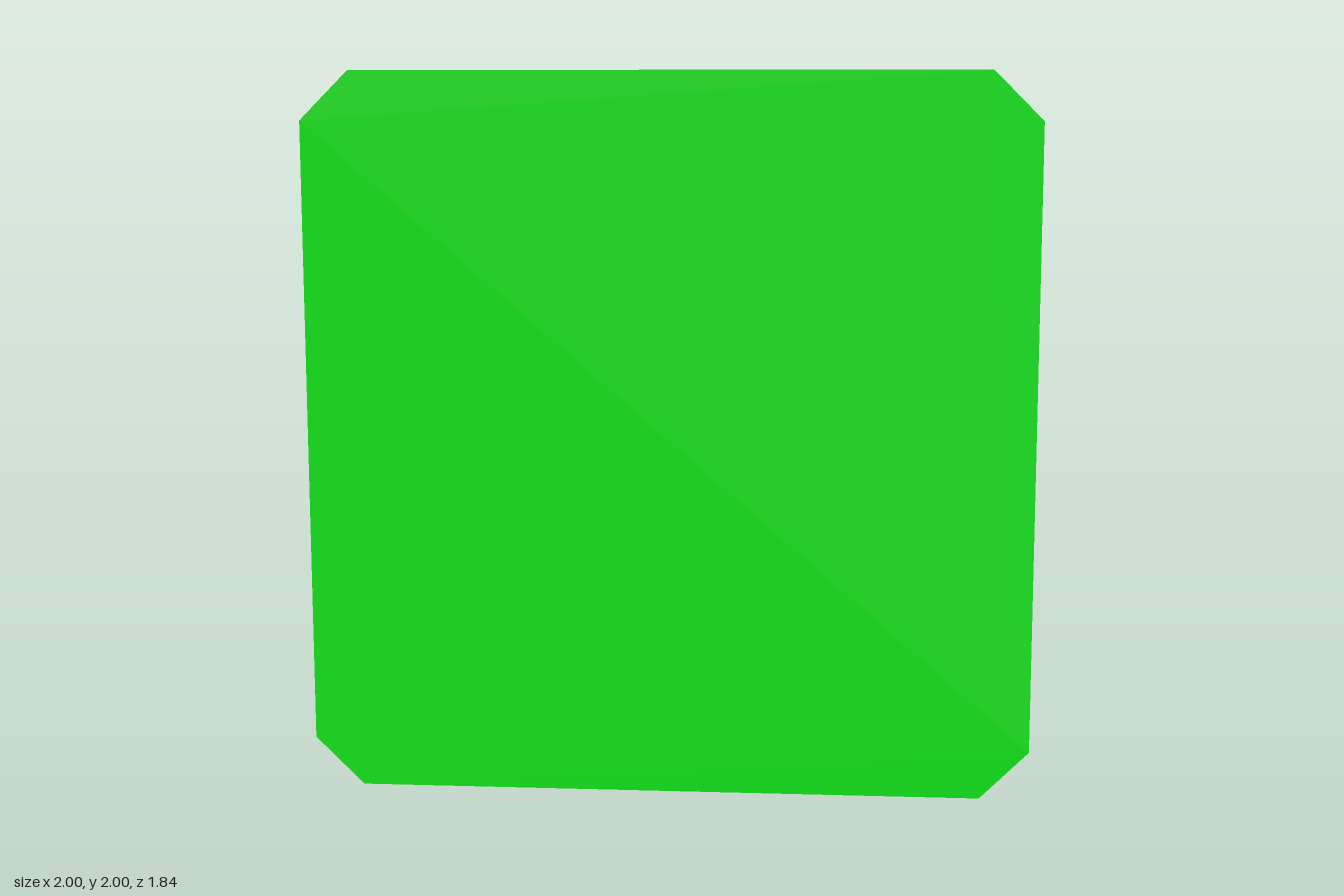
import * as THREE from 'three';

export function createModel() {
  const model = new THREE.Group();
  const green = new THREE.MeshStandardMaterial({ color: 0x10e018, flatShading: true });

  // Square outline with cut corners, shared by every plate
  const h = 1, c = 0.865;
  const outline = new THREE.Shape([
    [-c, -h], [c, -h], [h, -c], [h, c], [c, h], [-c, h], [-h, c], [-h, -c],
  ].map(([x, y]) => new THREE.Vector2(x, y)));

  function addPlate(name, zBack, zFront) {
    const geometry = new THREE.ExtrudeGeometry(outline, { depth: zFront - zBack, bevelEnabled: false });
    const plate = new THREE.Mesh(geometry, green);
    plate.name = name;
    plate.position.set(0, 1, zBack);
    model.add(plate);
  }

  // Thick front plate and three thin plates behind it
  addPlate('frontPlate', 0.7, 0.92);
  addPlate('frontMiddlePlate', 0.143, 0.193);
  addPlate('backMiddlePlate', -0.38, -0.33);
  addPlate('backPlate', -0.92, -0.87);

  // Four square rods joining the plates near their corners
  const rodBack = -0.88, rodFront = 0.71;
  const rodGeometry = new THREE.BoxGeometry(0.096, 0.096, rodFront - rodBack);
  for (const [sideName, sx] of [['left', 1], ['right', -1]]) {
    for (const [levelName, sy] of [['Upper', 1], ['Lower', -1]]) {
      const rod = new THREE.Mesh(rodGeometry, green);
      rod.name = `${sideName}${levelName}Rod`;
      rod.position.set(sx * 0.762, 1 + sy * 0.762, (rodFront + rodBack) / 2);
      model.add(rod);
    }
  }

  return model;
}
